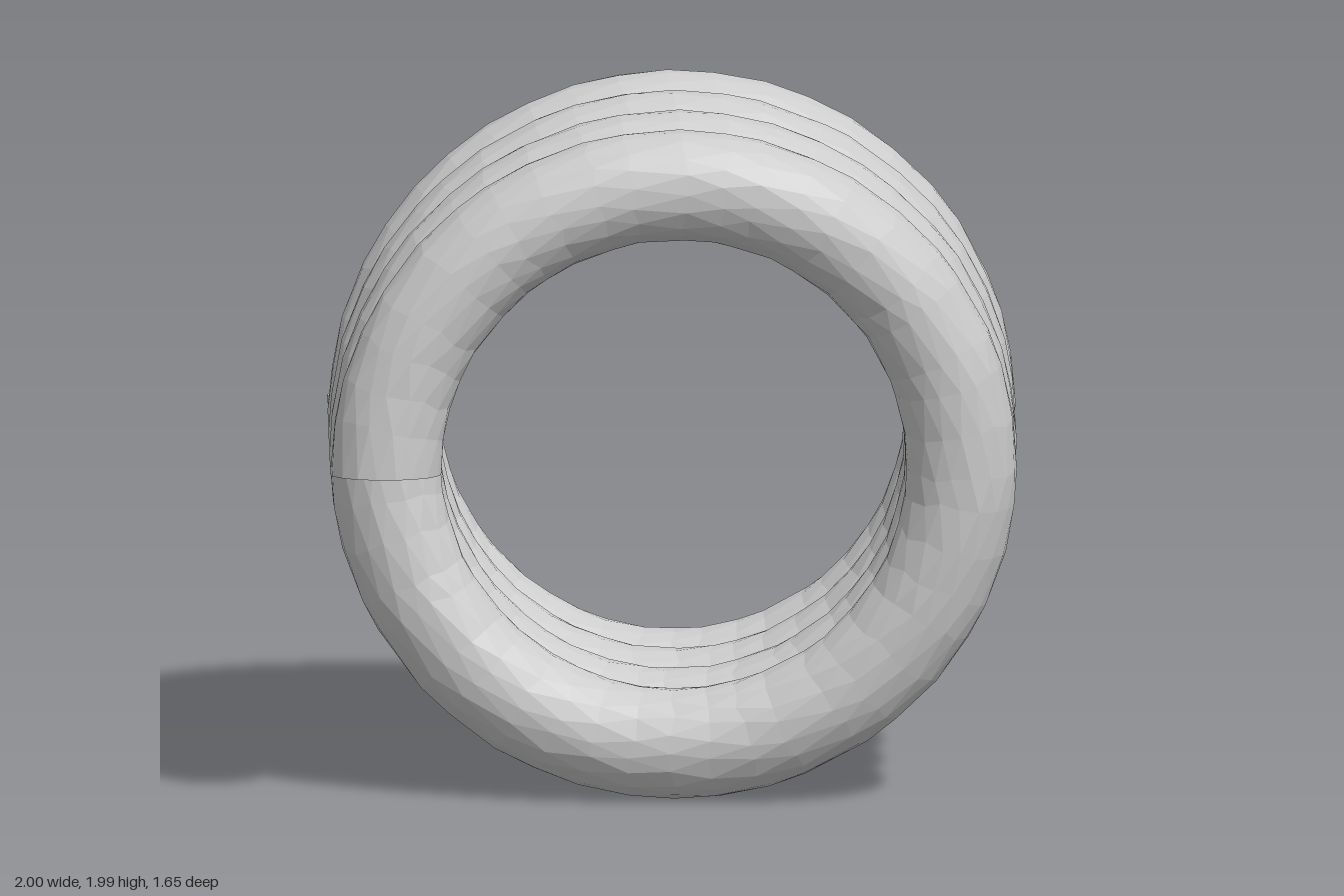
import * as THREE from 'three';

const TURNS = 4, RINGS = 44 * TURNS, SIDES = 18;
const COIL_R = 0.837, WIRE_R = 0.161, LENGTH = 1.335;

// small seeded random in -1..1 for the hand-formed facets
function seeded(seed) {
  return () => {
    seed = (seed * 16807) % 2147483647;
    return (seed / 2147483647) * 2 - 1;
  };
}

// point on the coil's centre line: starts at the front on -x and climbs over the top
function helix(t) {
  return new THREE.Vector3(
    -COIL_R * Math.cos(t),
    1 + COIL_R * Math.sin(t),
    LENGTH / 2 - (LENGTH * t) / (TURNS * Math.PI * 2));
}

function coilGeometry() {
  const rnd = seeded(77);
  const pos = [], index = [];
  const pitch = LENGTH / (TURNS * Math.PI * 2);

  // round cross-sections, each turned half a side to give staggered facets
  for (let i = 0; i <= RINGS; i++) {
    const inner = i > 0 && i < RINGS ? 1 : 0;
    const t = ((i + 0.2 * inner * rnd()) / RINGS) * TURNS * Math.PI * 2;
    const centre = helix(t);
    const out = new THREE.Vector3(-Math.cos(t), Math.sin(t), 0);
    const along = new THREE.Vector3(COIL_R * Math.sin(t), COIL_R * Math.cos(t), -pitch).normalize();
    const side = along.clone().cross(out);
    for (let j = 0; j < SIDES; j++) {
      const a = ((j + i * 0.5 + 0.15 * rnd()) / SIDES) * Math.PI * 2;
      const r = WIRE_R + 0.0015 * rnd();
      const p = centre.clone()
        .addScaledVector(out, r * Math.cos(a))
        .addScaledVector(side, r * Math.sin(a))
        .addScaledVector(along, 0.012 * inner * rnd());
      pos.push(p.x, p.y, p.z);
    }
  }

  // skin between neighbouring cross-sections
  for (let i = 0; i < RINGS; i++) {
    for (let j = 0; j < SIDES; j++) {
      const k = (j + 1) % SIDES;
      const a = i * SIDES + j, b = i * SIDES + k;
      const c = a + SIDES, d = b + SIDES;
      index.push(a, b, c, b, d, c);
    }
  }

  // flat cut ends
  const first = pos.length / 3, last = first + 1, end = RINGS * SIDES;
  pos.push(...helix(0).toArray(), ...helix(TURNS * Math.PI * 2).toArray());
  for (let j = 0; j < SIDES; j++) {
    const k = (j + 1) % SIDES;
    index.push(first, k, j, last, end + j, end + k);
  }

  const geo = new THREE.BufferGeometry();
  geo.setAttribute('position', new THREE.Float32BufferAttribute(pos, 3));
  geo.setIndex(index);
  geo.computeVertexNormals();
  return geo;
}

export function createModel() {
  const group = new THREE.Group();
  group.name = 'coilSpring';
  const material = new THREE.MeshStandardMaterial({ color: 0xcccccc, flatShading: true });
  const coil = new THREE.Mesh(coilGeometry(), material);
  coil.name = 'coil';
  group.add(coil);
  return group;
}
